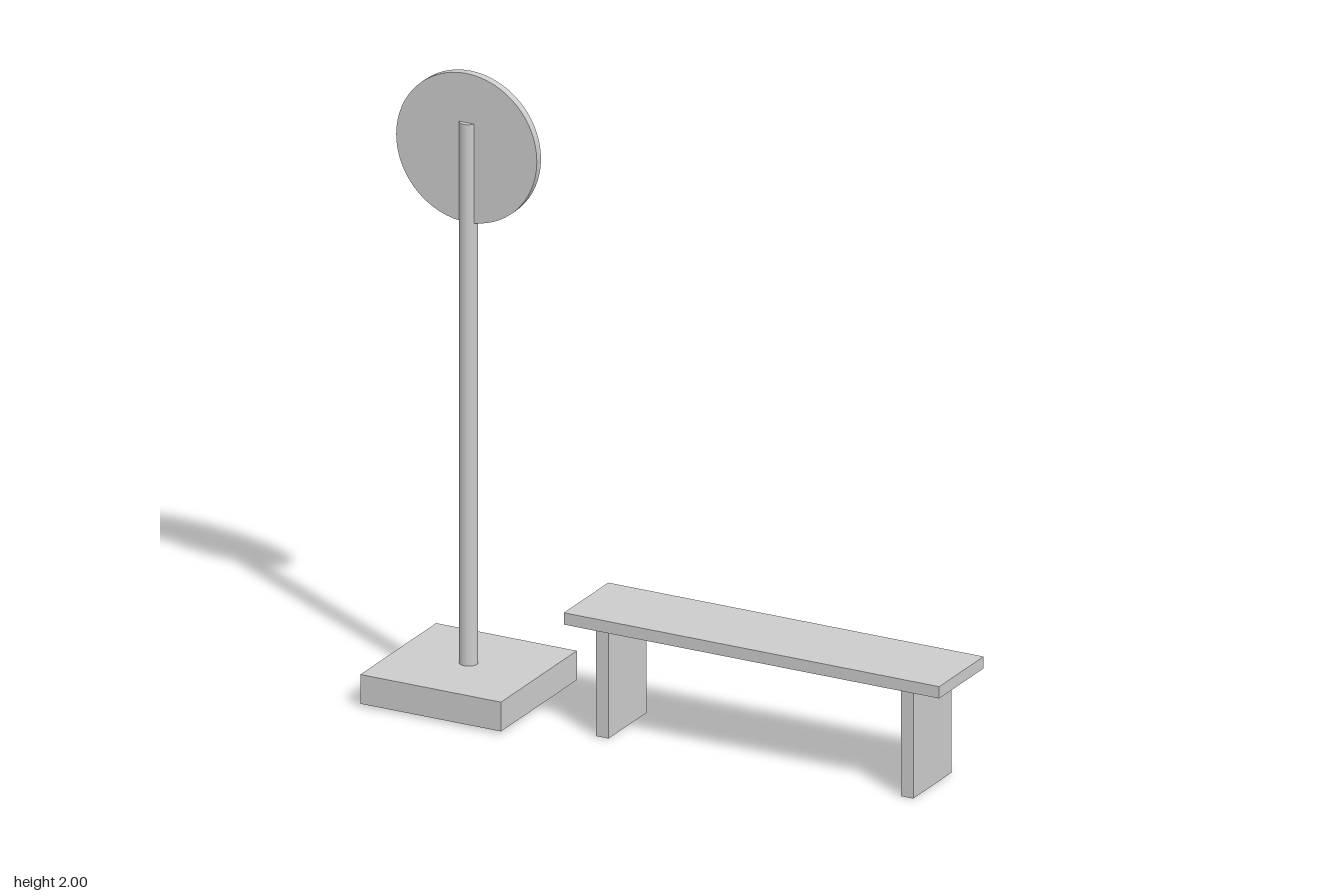
import * as THREE from 'three';

export function createModel() {
  const model = new THREE.Group();
  model.name = 'stopSignAndBench';
  const grey = new THREE.MeshStandardMaterial({ color: 0xcccccc });
  grey.name = 'light grey';

  const add = (parent, name, geometry, x, y, z = 0) => {
    const mesh = new THREE.Mesh(geometry, grey);
    mesh.name = name;
    mesh.position.set(x, y, z);
    parent.add(mesh);
    return mesh;
  };

  // Sign: square foot, round pole and upright disc
  const sign = new THREE.Group();
  sign.name = 'sign';
  sign.position.x = -0.718;
  add(sign, 'signBase', new THREE.BoxGeometry(0.478, 0.094, 0.478), 0, 0.055);
  add(sign, 'signPole', new THREE.CylinderGeometry(0.029, 0.029, 1.742, 32), 0, 0.971);
  const disc = new THREE.CylinderGeometry(0.239, 0.239, 0.026, 64).rotateX(Math.PI / 2);
  add(sign, 'signDisc', disc, 0, 1.761);
  model.add(sign);

  // Bench: plank seat on two slab legs
  const bench = new THREE.Group();
  bench.name = 'bench';
  bench.position.x = 0.319;
  add(bench, 'benchSeat', new THREE.BoxGeometry(1.276, 0.038, 0.28), 0, 0.366);
  for (const side of [-1, 1]) {
    const name = side > 0 ? 'leftBenchLeg' : 'rightBenchLeg';
    add(bench, name, new THREE.BoxGeometry(0.042, 0.347, 0.24), side * 0.518, 0.1735);
  }
  model.add(bench);

  return model;
}
